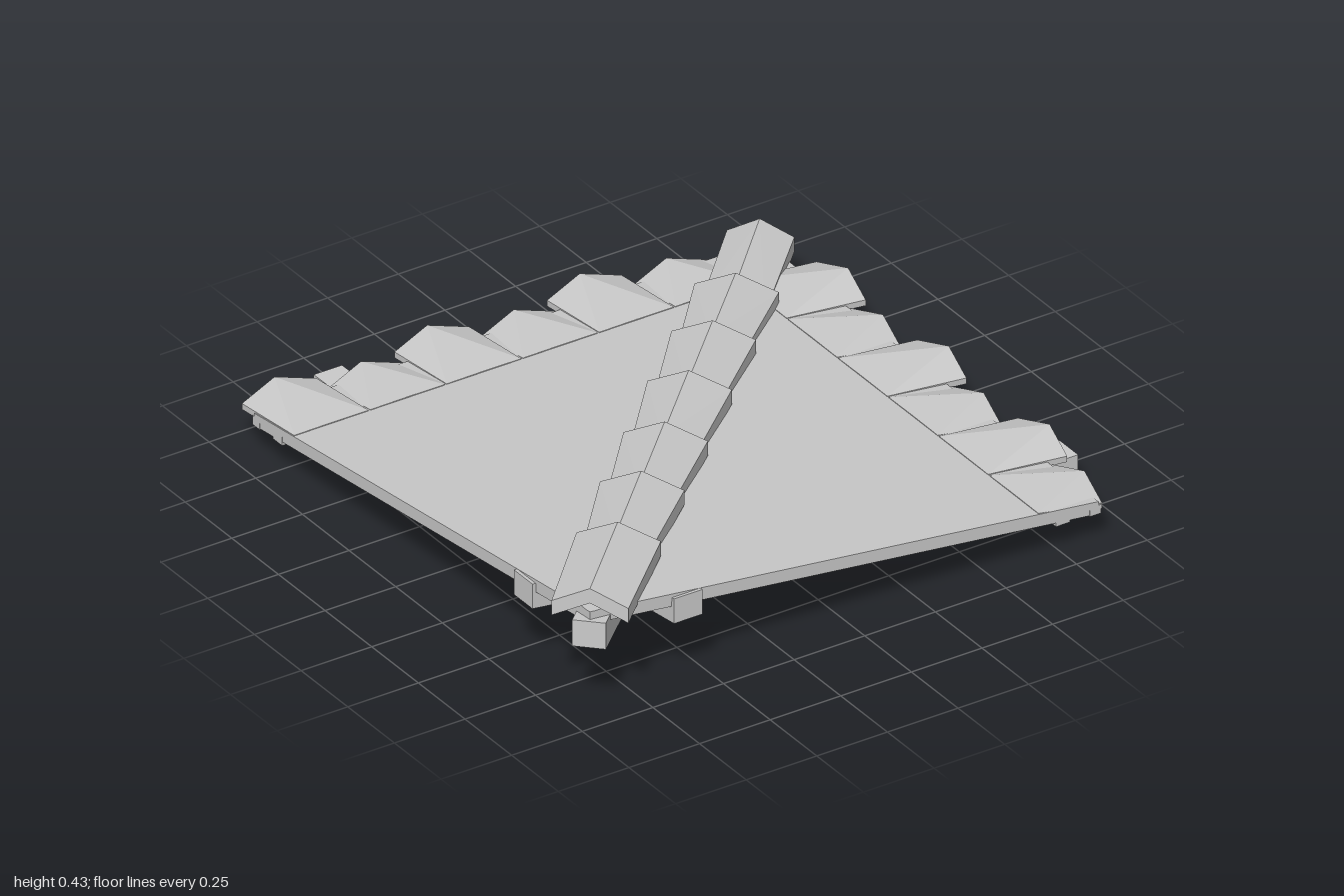
import * as THREE from 'three';
import { ConvexGeometry } from 'three/addons/geometries/ConvexGeometry.js';

const material = new THREE.MeshStandardMaterial({ color: 0xcccccc, flatShading: true });

// Height of the roof surface at distance u down the slope
const roof = (u) => 0.345 - 0.118 * (u + 0.92);

// Local (u down the slope, y up, s along the eave) to model space
const rightSide = (u, y, s) => new THREE.Vector3(u, y, -s);
const backSide = (u, y, s) => new THREE.Vector3(s, y, -u);
// Along the hip diagonal, with sideways offset o
const hip = (t, y, o) => new THREE.Vector3(t + o, y, -t + o);

function addSolid(parent, name, points) {
  const mesh = new THREE.Mesh(new ConvexGeometry(points), material);
  mesh.name = name;
  parent.add(mesh);
}

// Beam following stations [u, top, bottom], between offsets s0 and s1
function addBeam(parent, name, map, stations, s0, s1) {
  for (let i = 0; i < stations.length - 1; i++) {
    const points = [];
    for (const [u, top, bottom] of [stations[i], stations[i + 1]])
      for (const s of [s0, s1]) points.push(map(u, top, s), map(u, bottom, s));
    addSolid(parent, name, points);
  }
}

// Peaked tile, open underneath: two sloping halves.
// Each end is { u, tip, y, drop, half }: edge and ridge positions, ridge height
function addPeakedTile(parent, name, map, a, b, centre, thickness) {
  for (const side of [-1, 1]) {
    const points = [];
    for (const e of [a, b]) {
      const edge = centre + side * e.half;
      for (const d of [0, thickness]) {
        points.push(map(e.tip, e.y - d, centre));
        points.push(map(e.u, e.y - e.drop - d, edge));
      }
    }
    addSolid(parent, name, points);
  }
}

function buildSlope(name, map, firstLong) {
  const slope = new THREE.Group();
  slope.name = name;

  // Triangular roof slab
  const slab = [];
  for (const [u, s] of [[-0.92, -0.92], [0.88, -0.92], [0.88, 0.88]])
    slab.push(map(u, roof(u), s), map(u, roof(u) - 0.025, s));
  addSolid(slope, 'roofSlab', slab);

  // Rafter along the open edge
  addBeam(slope, 'edgeRafter', map,
    [-0.92, 0.88].map((u) => [u, roof(u) - 0.002, roof(u) - 0.043]), -0.919, -0.86);

  // Eave boards
  addBeam(slope, 'eaveBoard', map, [[0.85, 0.12, 0.09], [0.89, 0.12, 0.09]], -0.92, 0.85);
  addBeam(slope, 'innerEaveBoard', map, [[0.73, 0.135, 0.095], [0.78, 0.13, 0.095]], -0.92, 0.74);

  // Bent support beam
  addBeam(slope, 'supportBeam', map,
    [[-0.932, 0.3, 0.215], [0.65, 0.115, 0.015], [1, 0.11, 0.05]], -0.63, -0.53);

  // Eave tiles, alternately long and short
  for (let i = 0; i < 6; i++) {
    const long = (i % 2 === 0) === firstLong;
    const centre = -0.785 + i * 0.27;
    const end = long ? 0.95 : 0.895;
    const lift = long ? 0.008 : 0;
    addPeakedTile(slope, 'eaveTile', map,
      { u: 0.67, tip: 0.67, y: roof(0.67) + 0.003, drop: 0.001, half: 0.132 },
      { u: end, tip: end + 0.025, y: 0.158 + lift, drop: 0.036, half: 0.132 },
      centre, 0.02);
  }
  return slope;
}

export function createModel() {
  const model = new THREE.Group();
  model.name = 'cornerRoof';
  model.add(buildSlope('rightSlope', rightSide, false));
  model.add(buildSlope('backSlope', backSide, true));

  // Bent beam under the hip
  addBeam(model, 'hipBeam', hip,
    [[-0.93, 0.32, 0.23], [0.34, 0.115, 0], [0.825, 0.118, 0.05]], -0.036, 0.036);

  // Stepped ridge tiles down the hip, each flaring over the next
  const joints = [-0.92, -0.63, -0.385, -0.14, 0.11, 0.36, 0.6, 0.85];
  const starts = [0.425, 0.392, 0.36, 0.328, 0.294, 0.262, 0.215];
  const ends = [0.415, 0.388, 0.355, 0.325, 0.29, 0.255, 0.235];
  for (let i = 0; i < 7; i++) {
    const t0 = joints[i] - (i ? 0.03 : 0);
    const t1 = joints[i + 1];
    addPeakedTile(model, 'ridgeTile', hip,
      { u: t0, tip: t0, y: starts[i], drop: 0.055, half: i ? 0.07 : 0.082 },
      { u: t1 + 0.01, tip: t1, y: ends[i], drop: 0.06, half: i < 6 ? 0.09 : 0.072 },
      0, 0.05);
  }
  return model;
}
